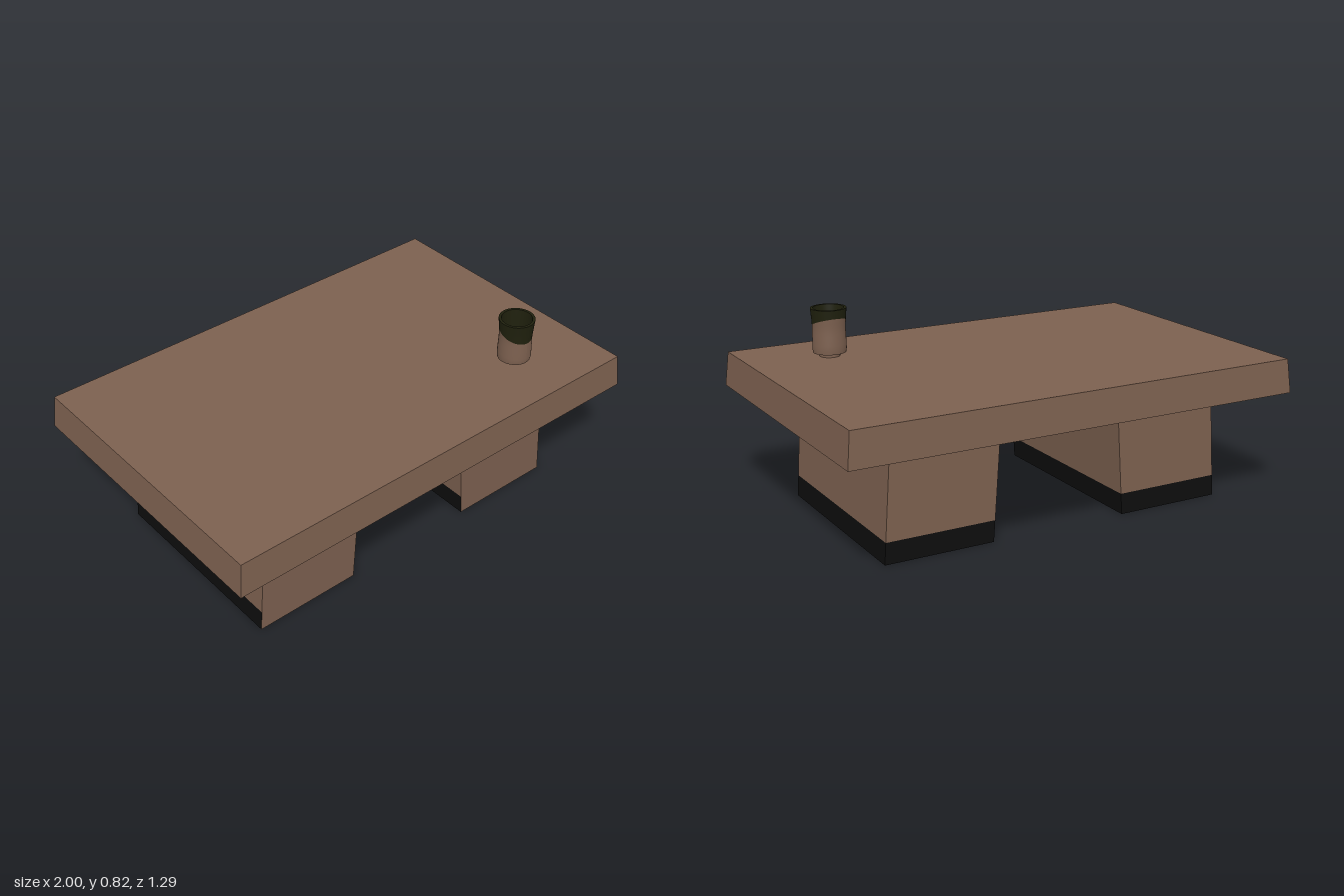
import * as THREE from 'three';

export function createModel() {
  const model = new THREE.Group();
  const mat = (name, color) => Object.assign(new THREE.MeshStandardMaterial({ color }), { name });
  const wood = mat('brown wood', 0x7c604f);
  const black = mat('black base', 0x0d0d0d);
  const olive = mat('dark olive glaze', 0x1f200d);

  const add = (name, geometry, material, parent = model) => {
    const mesh = new THREE.Mesh(geometry, material);
    mesh.name = name;
    parent.add(mesh);
    return mesh;
  };

  // Moves every vertex of a geometry by a rule
  const reshape = (geometry, rule) => {
    const p = geometry.attributes.position;
    for (let i = 0; i < p.count; i++) p.setXYZ(i, ...rule(p.getX(i), p.getY(i), p.getZ(i)));
    geometry.computeVertexNormals();
    return geometry;
  };

  // Slab with slightly sloping sides
  add('tableTop', reshape(new THREE.BoxGeometry(1, 1, 1), (x, y, z) =>
    (y > 0 ? [x * 1.97, 0.62, z * 1.27] : [x * 2, 0.475, z * 1.29])), wood);

  // Leaning block legs: black band on three sides and underneath, plain front
  for (const side of [1, -1]) {
    const geo = reshape(new THREE.BoxGeometry(1, 1, 1, 1, 2, 1), (x, y, z) => {
      const h = y > 0.25 ? 0.475 : y < -0.25 ? 0 : 0.09;
      const centre = side * (0.54 - 0.032 * (h / 0.475));
      return [centre + x * 0.472, h, z * 0.882];
    });
    geo.clearGroups();
    // each pair: index count, material (0 wood, 1 black); order +x, -x, top, bottom, front, back
    let start = 0;
    for (const [count, m] of [[6, 0], [6, 1], [6, 0], [6, 1], [6, 0], [6, 1], [12, 0], [6, 0], [6, 1]]) {
      geo.addGroup(start, count, m);
      start += count;
    }
    add(side > 0 ? 'leftLeg' : 'rightLeg', geo, [wood, black]);
  }

  // Ragged dark stain under the top, along the inner edge of the right leg
  const stain = new THREE.Shape();
  stain.moveTo(-0.272, -0.13);
  for (let i = 1; i < 24; i++) {
    const t = i / 24;
    const w = 0.07 * Math.sin(Math.PI * t) + 0.015 * Math.sin(i * 2.3) + 0.02;
    stain.lineTo(-0.272 + Math.max(w, 0.005), -0.13 + 0.57 * t);
  }
  stain.lineTo(-0.272, 0.44);
  const stainMesh = add('undersideStain', new THREE.ShapeGeometry(stain).rotateX(Math.PI / 2), black);
  stainMesh.position.y = 0.473;

  // Cup, built about its own axis with y = 0 on the table
  const cup = new THREE.Group();
  cup.name = 'cup';
  cup.position.set(0.635, 0.62, 0.365);
  model.add(cup);

  const profile = [[0.017, 0.069], [0.025, 0.0715], [0.06, 0.071], [0.12, 0.069], [0.16, 0.0715], [0.205, 0.0755]];
  const radiusAt = (y) => {
    for (let i = 1; i < profile.length; i++) {
      const [y0, r0] = profile[i - 1], [y1, r1] = profile[i];
      if (y <= y1) return THREE.MathUtils.mapLinear(y, y0, y1, r0, r1);
    }
    return profile[profile.length - 1][1];
  };
  // Slanted glaze line, low at the front and high at the back
  const glazeLine = (z) => 0.142 - z * 0.38;
  const sleeve = (low, high) => reshape(new THREE.CylinderGeometry(1, 1, 1, 40, 8, true), (x, y, z) => {
    const edge = z * 0.07;
    const h = THREE.MathUtils.lerp(low(edge), high(edge), y + 0.5);
    const r = radiusAt(h);
    return [x * r, h, z * r];
  });

  add('cupFoot', new THREE.CylinderGeometry(0.043, 0.043, 0.018, 32).translate(0, 0.009, 0), wood, cup);
  add('cupBody', sleeve(() => 0.017, glazeLine), wood, cup);
  add('cupGlaze', sleeve(glazeLine, () => 0.205), olive, cup);
  add('cupUnderside', new THREE.CircleGeometry(0.069, 40).rotateX(Math.PI / 2).translate(0, 0.017, 0), wood, cup);

  // Rim and inner wall
  const inside = [[0.0755, 0.205], [0.064, 0.205], [0.062, 0.15], [0.061, 0.035]];
  const points = inside.map(([r, y]) => new THREE.Vector2(r, y));
  add('cupRim', new THREE.RingGeometry(0.064, 0.0755, 40).rotateX(-Math.PI / 2).translate(0, 0.205, 0), olive, cup);
  add('cupInnerWall', new THREE.LatheGeometry(points.slice(1), 40), olive, cup);
  add('cupFloor', new THREE.CircleGeometry(0.061, 40).rotateX(-Math.PI / 2).translate(0, 0.035, 0), wood, cup);

  return model;
}
